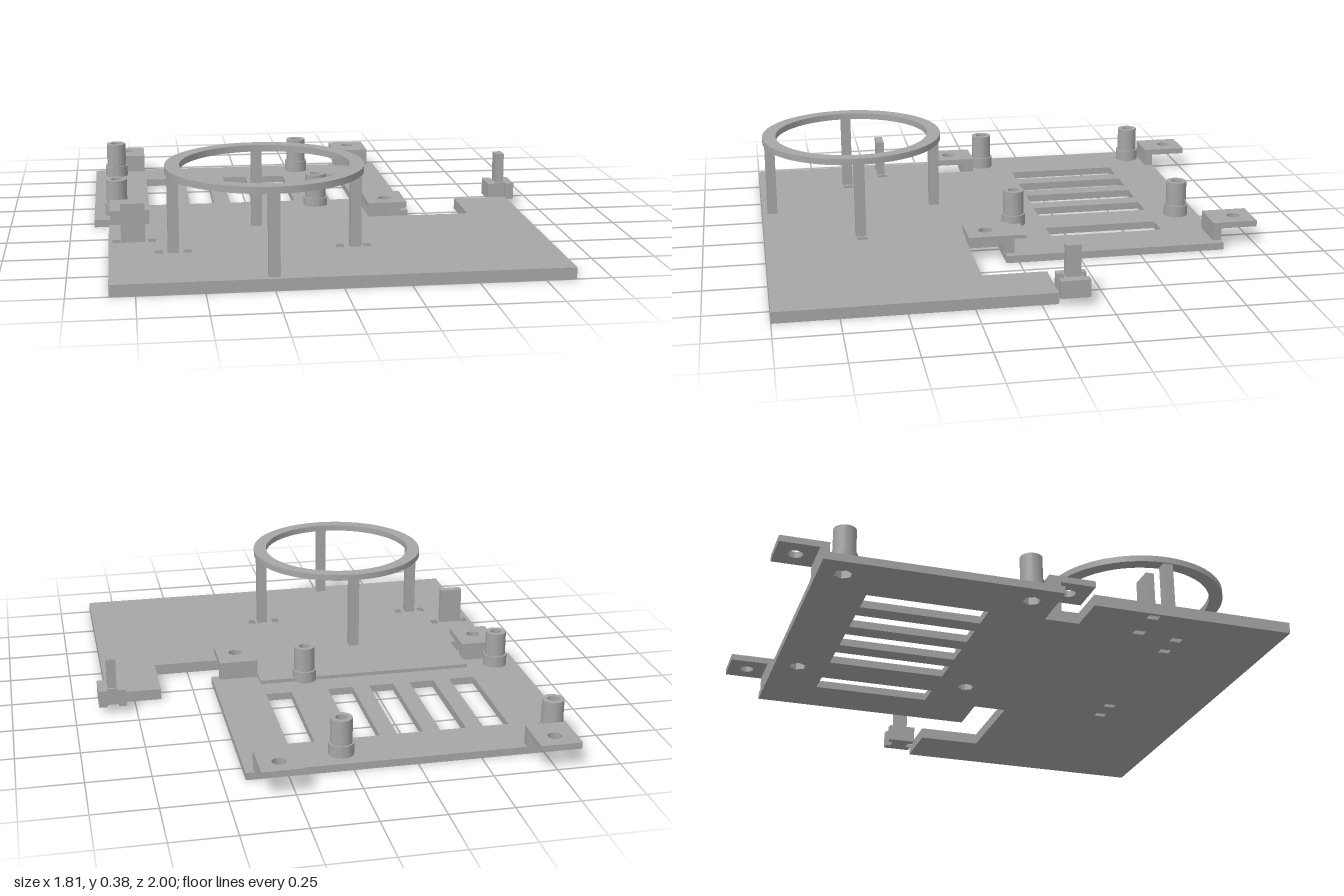
import * as THREE from 'three';
import { toCreasedNormals } from 'three/addons/utils/BufferGeometryUtils.js';

const grey = new THREE.MeshStandardMaterial({ color: 0xa6a6a6 });
grey.name = 'grey plastic';

export function createModel() {
  const model = new THREE.Group();
  model.name = 'mountingPlate';

  const add = (name, geometry) => {
    const mesh = new THREE.Mesh(geometry, grey);
    mesh.name = name;
    model.add(mesh);
  };
  const box = (name, x0, x1, y0, y1, z0, z1) => {
    const g = new THREE.BoxGeometry(x1 - x0, y1 - y0, z1 - z0);
    g.translate((x0 + x1) / 2, (y0 + y1) / 2, (z0 + z1) / 2);
    add(name, g);
  };

  // Outlines are drawn as (x, z) and extruded upward from y0 to y1
  const outline = (pts) => new THREE.Shape(pts.map(([x, z]) => new THREE.Vector2(x, z)));
  const rect = (x0, x1, z0, z1) => outline([[x0, z0], [x1, z0], [x1, z1], [x0, z1]]);
  const disc = (x, z, r) => new THREE.Shape().absarc(x, z, r, 0, Math.PI * 2);
  const hexagon = (x, z, r) => outline(Array.from({ length: 6 }, (_, i) =>
    [x + r * Math.cos(i * Math.PI / 3), z + r * Math.sin(i * Math.PI / 3)]));
  const slab = (name, shape, holes, y0, y1, curveSegments = 16) => {
    shape.holes.push(...holes);
    const g = new THREE.ExtrudeGeometry(shape, { depth: y1 - y0, bevelEnabled: false, curveSegments });
    g.rotateX(Math.PI / 2).translate(0, y1, 0);
    add(name, toCreasedNormals(g, 0.6));
  };

  const studs = [[-0.81, -0.757], [0.03, -0.757], [-0.81, -0.045], [0.03, -0.045]];

  // Thin back plate with vent slots and hexagonal nut pockets
  const vents = [-0.675, -0.5, -0.325, -0.15, 0.11].map((x) => rect(x, x + 0.105, -0.64, -0.17));
  const pockets = studs.map(([x, z]) => hexagon(x, z, 0.034));
  slab('backPlate', rect(-0.905, 0.413, -0.85, 0.053), [...vents, ...pockets], 0, 0.03);

  // Thicker front plate, overlapping the back plate with a tongue
  const ties = [[-0.655, 0.605], [-0.547, 0.605], [0.04, 0.605], [0.147, 0.605], [-0.815, 0.44], [-0.677, 0.44]]
    .map(([x, z]) => rect(x - 0.015, x + 0.015, z - 0.022, z + 0.022));
  slab('frontPlate', outline([
    [-0.845, 1], [-0.845, 0.19], [-0.68, 0.19], [-0.68, -0.065],
    [0, -0.065], [0, -0.012], [0.06, -0.012], [0.06, -0.065], // clearance under a standoff
    [0.22, -0.065], [0.22, 0.19], [0.64, 0.19], [0.64, -0.065], [0.865, -0.065], [0.865, 1],
  ]), ties, 0, 0.045);

  // Hollow standoffs with a wider foot
  for (const [x, z] of studs) {
    slab('standoffFoot', disc(x, z, 0.05), [disc(x, z, 0.023)], 0.03, 0.078);
    slab('standoffPost', disc(x, z, 0.043), [disc(x, z, 0.023)], 0.078, 0.18);
  }

  // Raised screw tabs, each cantilevered from a short riser
  for (const x of [-0.76, 0.3]) {
    for (const [z0, z1, hole, r0, r1] of [[-1, -0.815, -0.925, -0.85, -0.815], [0.015, 0.2, 0.12, 0.015, 0.06]]) {
      slab('screwTab', rect(x - 0.08, x + 0.08, z0, z1), [disc(x, hole, 0.028)], 0.08, 0.105);
      box('tabRiser', x - 0.08, x + 0.08, z0 < -0.5 ? 0 : 0.028, 0.08, r0, r1);
    }
  }

  // Ring carried on four square posts
  const cx = -0.25, cz = 0.607;
  slab('holderRing', disc(cx, cz, 0.378), [disc(cx, cz, 0.322)], 0.355, 0.381, 48);
  for (let i = 0; i < 4; i++) {
    const a = i * Math.PI / 2;
    const x = cx + 0.35 * Math.cos(a), z = cz + 0.35 * Math.sin(a);
    box('ringPost', x - 0.021, x + 0.021, 0.045, 0.356, z - 0.021, z + 0.021);
  }

  // Upright stop between two tie slots
  box('uprightStop', -0.797, -0.703, 0.045, 0.2, 0.427, 0.46);

  // Spool-shaped clip at the back corner with an upright pin
  slab('cornerClip', outline([
    [0.79, -0.178], [0.823, -0.178], [0.823, -0.157], [0.867, -0.157], [0.867, -0.178], [0.902, -0.178],
    [0.902, -0.063], [0.867, -0.063], [0.867, -0.085], [0.823, -0.085], [0.823, -0.063], [0.79, -0.063],
  ]), [], 0.035, 0.105);
  box('clipPin', 0.827, 0.863, 0.105, 0.23, -0.148, -0.09);

  return model;
}
